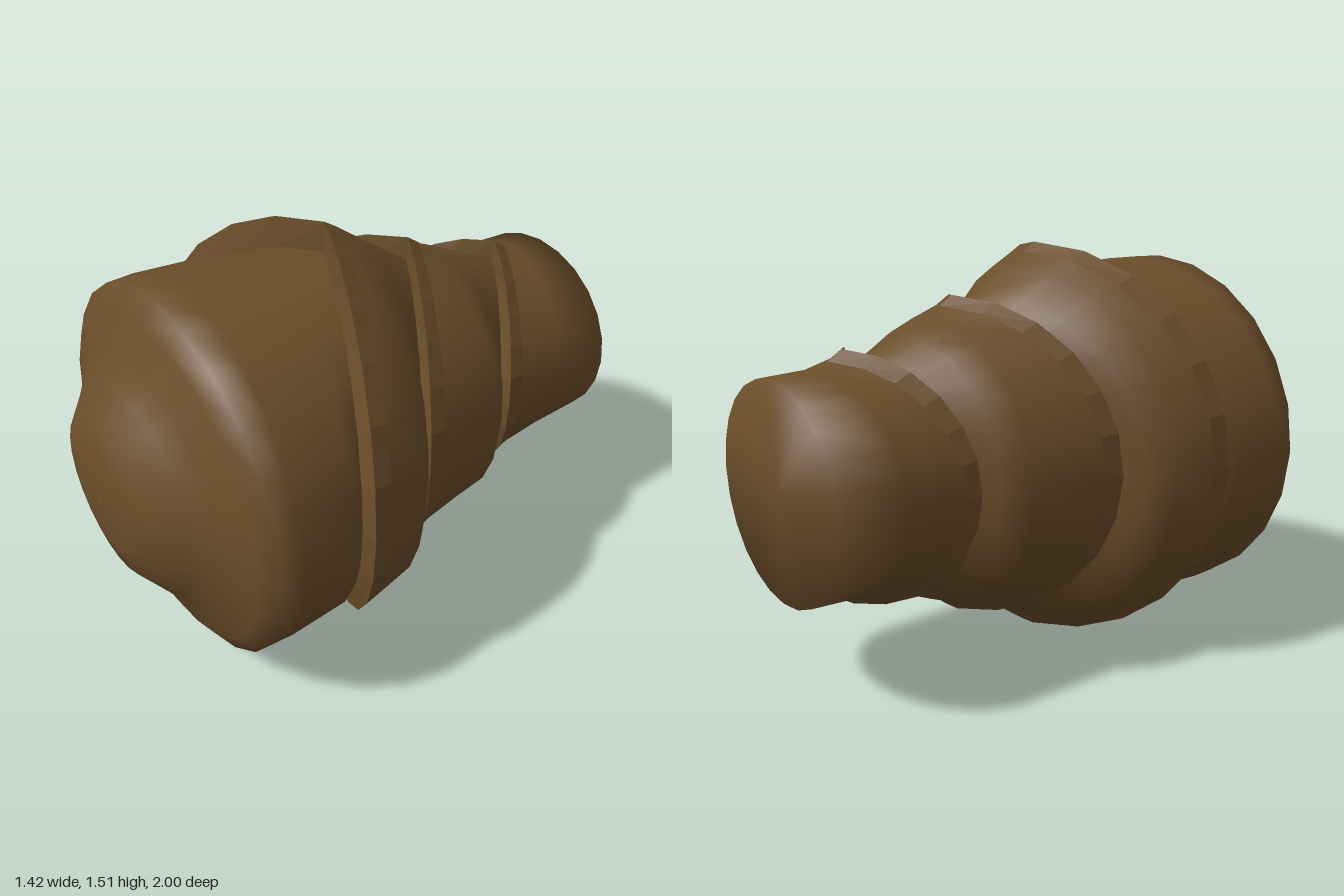
import * as THREE from 'three';

const SIDES = 24;
const CENTRE_Y = 0.757;
const COLOR = 0x6b4e2a;

// Skin through oval rings listed front to back: [half width, half height, z at top, z at side].
// Each ring is folded into a chevron: z runs straight from its top value to its side value.
function loft(name, rings, flat = false) {
  const pos = [], index = [];
  rings.forEach(([rx, ry, zTop, zSide], r) => {
    for (let i = 0; i < SIDES; i++) {
      const a = (i / SIDES) * Math.PI * 2;
      const c = Math.cos(a);
      pos.push(rx * c, CENTRE_Y + ry * Math.sin(a), zTop + (zSide - zTop) * Math.abs(c));
      if (r === 0) continue;
      const j = (i + 1) % SIDES, p = (r - 1) * SIDES, q = r * SIDES;
      index.push(p + i, q + i, p + j, p + j, q + i, q + j);
    }
  });
  const geo = new THREE.BufferGeometry();
  geo.setAttribute('position', new THREE.Float32BufferAttribute(pos, 3));
  geo.setIndex(index);
  geo.computeVertexNormals();
  const mesh = new THREE.Mesh(geo, new THREE.MeshStandardMaterial({ color: COLOR, flatShading: flat }));
  mesh.name = name;
  return mesh;
}

export function createModel() {
  const group = new THREE.Group();
  group.name = 'ribbedBody';

  // Domed front, ending under the first rib
  group.add(loft('frontCap', [
    [0.001, 0.001, 1.0, 1.0],
    [0.19, 0.18, 0.99, 0.99],
    [0.3, 0.28, 0.965, 0.965],
    [0.4, 0.39, 0.88, 0.88],
    [0.5, 0.48, 0.815, 0.815],
    [0.63, 0.6, 0.77, 0.77],
    [0.705, 0.67, 0.725, 0.725],
    [0.708, 0.674, 0.6, 0.65],
    [0.695, 0.655, 0.25, 0.45],
    [0.64, 0.645, 0.07, 0.38],
  ]));

  // Each section: step face up to the rib edge, bevelled rib band, tapering skin behind it
  const sections = [
    {
      foot: [0.64, 0.645, 0.075, 0.385],
      edge: [0.71, 0.757, 0.07, 0.38],
      band: [0.705, 0.722, 0.015, 0.31],
      skin: [[0.685, 0.675, -0.05, 0.16], [0.61, 0.59, -0.17, 0.08], [0.5, 0.5, -0.3, 0.02]],
    },
    {
      foot: [0.5, 0.5, -0.295, 0.025],
      edge: [0.55, 0.592, -0.3, 0.02],
      band: [0.542, 0.558, -0.35, -0.05],
      skin: [[0.51, 0.518, -0.4, -0.34], [0.44, 0.48, -0.51, -0.42], [0.36, 0.37, -0.74, -0.48]],
    },
    {
      foot: [0.36, 0.37, -0.735, -0.475],
      edge: [0.415, 0.45, -0.74, -0.48],
      band: [0.412, 0.415, -0.795, -0.54],
      skin: [[0.408, 0.388, -0.85, -0.75], [0.4, 0.38, -1, -1], [0.001, 0.001, -1, -1]],
    },
  ];
  sections.forEach(({ foot, edge, band, skin }, i) => {
    const n = i + 1;
    group.add(loft('rib' + n, [foot, edge, band], true));
    group.add(loft('taper' + n, [band, ...skin]));
  });
  return group;
}
